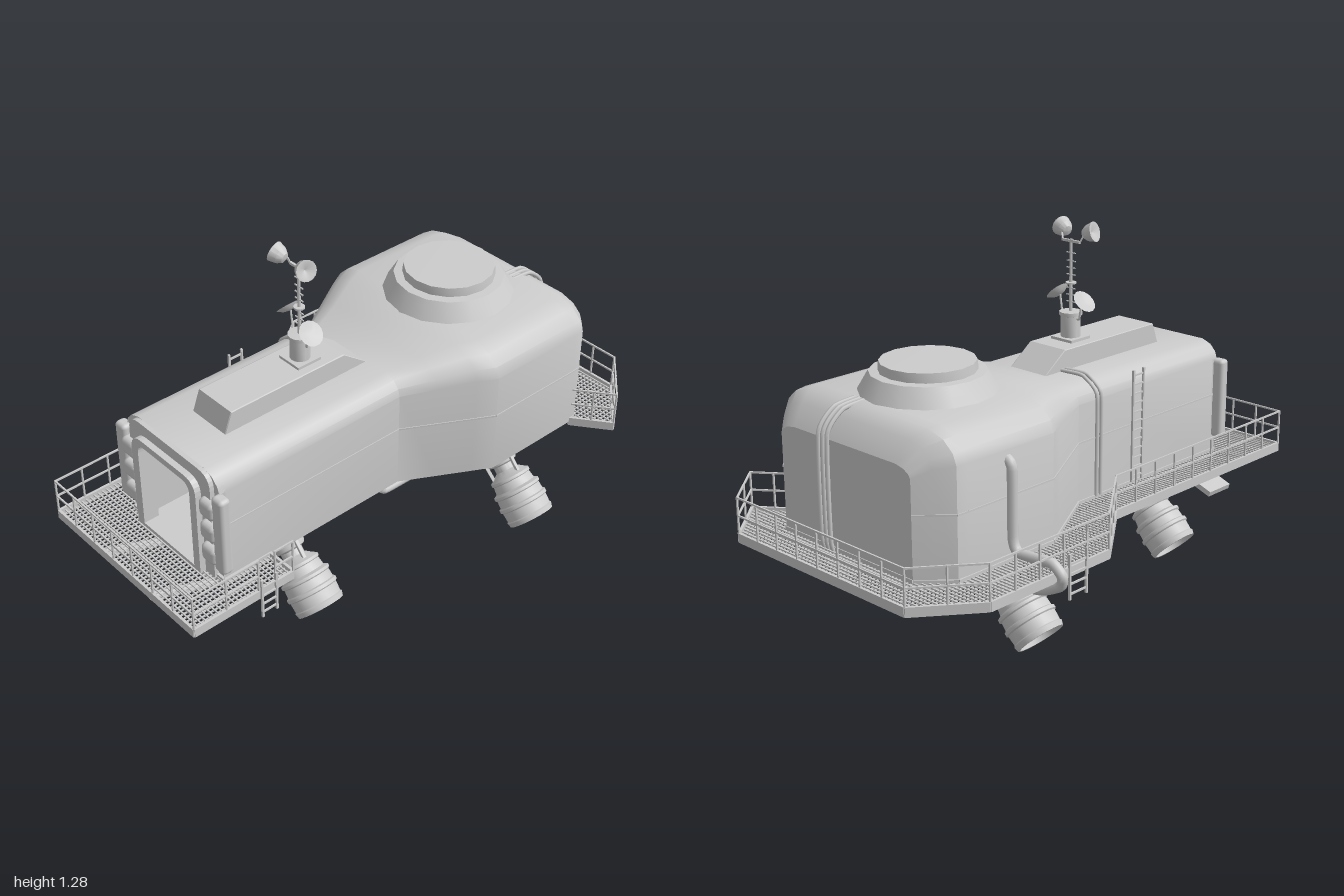
import * as THREE from 'three';
import { mergeGeometries, toCreasedNormals } from 'three/addons/utils/BufferGeometryUtils.js';
import { RoundedBoxGeometry } from 'three/addons/geometries/RoundedBoxGeometry.js';

const CX = 0.045; // centre line of the hull
const FLOOR = 0.335;
const mat = new THREE.MeshStandardMaterial({ color: 0xcccccc, side: THREE.DoubleSide });
const V = (x, y, z) => new THREE.Vector3(x, y, z);

function add(parent, name, geo, x = 0, y = 0, z = 0) {
  const m = new THREE.Mesh(geo, mat);
  m.name = name;
  m.position.set(x, y, z);
  parent.add(m);
  return m;
}

// Straight bar of rectangular section between two points
function bar(p, q, w, h = w) {
  const o = new THREE.Object3D();
  o.position.copy(p).add(q).multiplyScalar(0.5);
  o.lookAt(q);
  o.updateMatrix();
  return new THREE.BoxGeometry(w, h, p.distanceTo(q)).applyMatrix4(o.matrix);
}

// Pipe through points with softened corners
function pipe(points, r, sides = 10) {
  const c = new THREE.CatmullRomCurve3(points.map(p => V(...p)), false, 'catmullrom', 0.25);
  return new THREE.TubeGeometry(c, points.length * 7, r, sides);
}
const lathe = (pts, n = 20, crease = 0.5) =>
  toCreasedNormals(new THREE.LatheGeometry(pts.map(p => new THREE.Vector2(...p)), n), crease);

// Cross-section of the hull, counter-clockwise from the front
function section([, w, ys, yr, wr]) {
  const d = w - wr, h = yr - ys;
  const half = [[w, FLOOR], [w, ys], [w - d * 0.12, ys + h * 0.4], [w - d * 0.45, ys + h * 0.78], [wr, yr]];
  return [...half, ...half.map(([x, y]) => [-x, y]).reverse()].map(([x, y]) => [x + CX, y]);
}
// z, half width, wall top, roof height, half width of the flat roof
const stations = [
  [0.78, 0.25, 0.71, 0.775, 0.18], [0, 0.25, 0.71, 0.778, 0.18], [-0.12, 0.316, 0.72, 0.802, 0.22],
  [-0.24, 0.382, 0.73, 0.828, 0.27], [-0.31, 0.42, 0.73, 0.83, 0.3], [-0.7, 0.42, 0.73, 0.83, 0.3],
  [-0.745, 0.418, 0.73, 0.825, 0.29], [-0.8, 0.365, 0.72, 0.795, 0.26], [-0.847, 0.318, 0.69, 0.725, 0.25],
];

function hullGeometry() {
  const rings = stations.map(s => section(s).map(([x, y]) => [x, y, s[0]]));
  const n = rings[0].length, idx = [], last = (rings.length - 1) * n;
  for (let s = 0; s < rings.length - 1; s++)
    for (let i = 0; i < n; i++) {
      const a = s * n + i, b = s * n + (i + 1) % n;
      idx.push(a, a + n, b, b, a + n, b + n);
    }
  for (let i = 1; i < n - 1; i++) idx.push(last, last + i + 1, last + i); // rear wall
  const g = new THREE.BufferGeometry();
  g.setAttribute('position', new THREE.Float32BufferAttribute(rings.flat(2), 3));
  g.setIndex(idx);
  return toCreasedNormals(g, 0.55);
}

// Doorway outline with rounded top corners
function arch(shape, x0, x1, y0, y1, r) {
  shape.moveTo(x0, y0).lineTo(x1, y0).lineTo(x1, y1 - r).quadraticCurveTo(x1, y1, x1 - r, y1)
    .lineTo(x0 + r, y1).quadraticCurveTo(x0, y1, x0, y1 - r).lineTo(x0, y0);
  return shape;
}
function plate(shape, hole, depth) {
  shape.holes.push(hole);
  return new THREE.ExtrudeGeometry(shape, { depth, bevelEnabled: false, curveSegments: 6 });
}

function buildHull(g) {
  add(g, 'hull', hullGeometry());
  const door = () => arch(new THREE.Path(), -0.1, 0.18, 0.355, 0.7, 0.04);
  const wall = new THREE.Shape(section(stations[0]).map(p => new THREE.Vector2(...p)));
  add(g, 'frontWall', plate(wall, door(), 0.02), 0, 0, 0.755);
  add(g, 'doorFrame', plate(arch(new THREE.Shape(), -0.135, 0.213, 0.34, 0.725, 0.06), door(), 0.05), 0, 0, 0.765);
  add(g, 'doorSurround', plate(arch(new THREE.Shape(), -0.175, 0.262, 0.34, 0.768, 0.06),
    arch(new THREE.Path(), -0.135, 0.213, 0.35, 0.72, 0.06), 0.022), 0, 0, 0.77);
  // Padded posts beside the door
  for (const s of [-1, 1]) {
    add(g, 'sidePost', new RoundedBoxGeometry(0.055, 0.31, 0.045, 2, 0.015), CX + s * 0.262, 0.555, 0.785);
    for (const y of [0.45, 0.545, 0.64])
      add(g, 'sidePad', new RoundedBoxGeometry(0.075, 0.07, 0.05, 2, 0.02), CX + s * 0.212, y, 0.792);
  }
  // Seam belt around the walls
  const belt = stations.map(s => [s[1], s[0]]);
  const parts = [];
  for (const s of [-1, 1])
    for (let i = 1; i < belt.length; i++)
      parts.push(bar(V(CX + s * belt[i - 1][0], 0.57, belt[i - 1][1]), V(CX + s * belt[i][0], 0.57, belt[i][1]), 0.006));
  add(g, 'seamBelt', mergeGeometries(parts));
  // Dome and its cap
  add(g, 'dome', lathe([[0.25, 0.81], [0.237, 0.832], [0.2, 0.895], [0.168, 0.897], [0.165, 0.93], [0, 0.931]], 16), 0.042, 0, -0.475);
  // Roof fairing
  const f = new THREE.Shape([[0, 0.77], [-0.11, 0.85], [-0.595, 0.85], [-0.625, 0.77]].map(p => new THREE.Vector2(...p)));
  add(g, 'roofFairing', new THREE.ExtrudeGeometry(f, { depth: 0.165, bevelThickness: 0.004, bevelSize: 0.002, bevelSegments: 1 }), -0.036, 0, 0)
    .rotation.y = Math.PI / 2;
}

function buildRoom(g) {
  const box = (n, w, h, d, x, y, z) => add(g, n, new THREE.BoxGeometry(w, h, d), x, y, z);
  box('roomFloor', 0.36, 0.01, 0.66, CX, 0.35, 0.43);
  box('roomCeiling', 0.36, 0.01, 0.66, CX, 0.715, 0.43);
  box('roomBackWall', 0.36, 0.37, 0.01, CX, 0.53, 0.1);
  for (const s of [-1, 1]) box('roomSideWall', 0.01, 0.37, 0.66, CX + s * 0.18, 0.53, 0.43);
  for (let i = 0; i < 6; i++) box('shelf', 0.09, 0.008, 0.2, -0.07, 0.4 + i * 0.05, 0.42);
  box('console', 0.15, 0.11, 0.06, 0.09, 0.57, 0.15);
  box('table', 0.17, 0.015, 0.18, 0.085, 0.495, 0.28);
  for (const x of [0.02, 0.15]) box('tableLeg', 0.012, 0.14, 0.012, x, 0.425, 0.34);
  box('seat', 0.07, 0.07, 0.07, 0.085, 0.39, 0.43);
}

const outer = [[0.415, 0.585], [0.415, 0.995], [-0.355, 0.995], [-0.355, 0.03], [-0.56, -0.24],
  [-0.56, -0.79], [-0.4, -0.995], [0.43, -0.995], [0.592, -0.82], [0.46, -0.72]];
const inner = [[0.46, -0.745], [0.363, -0.845], [-0.273, -0.845], [-0.375, -0.745], [-0.375, -0.31],
  [-0.205, 0], [-0.205, 0.78], [0.295, 0.78], [0.295, 0.585]];

// Bars of one direction, clipped to the walkway outline
function grating(axis, y, step) {
  const poly = [...outer, ...inner], k = axis, o = 1 - axis, parts = [];
  for (let t = -1; t < 1; t += step) {
    const hits = [];
    poly.forEach((a, i) => {
      const b = poly[(i + 1) % poly.length];
      if ((a[k] > t) !== (b[k] > t)) hits.push(a[o] + (b[o] - a[o]) * (t - a[k]) / (b[k] - a[k]));
    });
    hits.sort((a, b) => a - b);
    for (let i = 0; i + 1 < hits.length; i += 2)
      parts.push(k ? bar(V(hits[i], y, t), V(hits[i + 1], y, t), 0.005) : bar(V(t, y, hits[i]), V(t, y, hits[i + 1]), 0.005));
  }
  return mergeGeometries(parts);
}

function railing(path) {
  const parts = [];
  for (let i = 1; i < path.length; i++) {
    const a = V(path[i - 1][0], 0, path[i - 1][1]), b = V(path[i][0], 0, path[i][1]);
    for (const y of [0.415, 0.48]) parts.push(bar(a.clone().setY(y), b.clone().setY(y), 0.006));
    const n = Math.max(1, Math.round(a.distanceTo(b) / 0.11));
    for (let j = 0; j <= n; j++) {
      const p = a.clone().lerp(b, j / n);
      parts.push(bar(p.clone().setY(0.32), p.clone().setY(0.483), 0.006));
    }
  }
  return mergeGeometries(parts);
}

// Ladder between two heights, rungs along z
function ladder(x, z, y0, y1, width) {
  const parts = [-1, 1].map(s => bar(V(x, y0, z + s * width / 2), V(x, y1, z + s * width / 2), 0.008));
  for (let y = y0 + 0.02; y < y1; y += 0.035) parts.push(bar(V(x, y, z - width / 2), V(x, y, z + width / 2), 0.006));
  return mergeGeometries(parts);
}

function buildWalkway(g) {
  add(g, 'gratingLong', grating(0, 0.337, 0.017));
  add(g, 'gratingCross', grating(1, 0.341, 0.017));
  const poly = [...outer, ...inner];
  add(g, 'walkwayEdge', mergeGeometries(poly.map((p, i) => {
    const q = poly[(i + 1) % poly.length];
    return bar(V(p[0], 0.336, p[1]), V(q[0], 0.336, q[1]), 0.01, 0.034);
  })));
  add(g, 'railing', railing([[0.415, 0.73], ...outer.slice(1)]));
  add(g, 'gateRailing', railing([[0.415, 0.585], [0.415, 0.66]]));
  add(g, 'sideLadder', ladder(-0.213, 0.31, 0.35, 0.775, 0.055));
  add(g, 'frontStep', ladder(0.425, 0.695, 0.24, 0.4, 0.06));
  add(g, 'rearStep', ladder(-0.568, -0.4, 0.24, 0.4, 0.08));
  add(g, 'slopedPlate', bar(V(-0.36, 0.26, 0.62), V(-0.18, 0.325, 0.62), 0.12, 0.02));
}

function buildPipes(g) {
  add(g, 'sidePipe', pipe([[-0.36, 0.7, -0.52], [-0.39, 0.67, -0.52], [-0.393, 0.43, -0.52], [-0.42, 0.385, -0.52],
    [-0.56, 0.39, -0.515], [-0.6, 0.355, -0.51], [-0.585, 0.315, -0.5], [-0.5, 0.27, -0.49], [-0.36, 0.235, -0.47]], 0.018));
  for (const x of [0.11, 0.132, 0.154])
    add(g, 'rearPipe', pipe([[x, 0.825, -0.7], [x, 0.815, -0.79], [x, 0.74, -0.858], [x, 0.37, -0.86], [x, 0.305, -0.82],
      [x, 0.3, -0.67], [x, 0.34, -0.64]], 0.008, 6));
  for (const z of [0.09, 0.112])
    add(g, 'roofPipe', pipe([[-0.03, 0.782, z], [-0.14, 0.785, z], [-0.2, 0.745, z], [-0.211, 0.7, z], [-0.211, 0.35, z]], 0.007, 6));
  // Tubes below the floor
  for (const x of [-0.11, 0.17]) {
    add(g, 'underTube', pipe([[x, 0.315, 0.985], [x, 0.225, 0.75], [x, 0.228, 0.7], [x, 0.23, 0], [x, 0.25, -0.04], [x, 0.34, -0.045]], 0.016));
    add(g, 'rearUnderTube', pipe([[x, 0.34, -0.03], [x, 0.22, -0.035], [x, 0.188, -0.07], [x, 0.188, -0.54], [x, 0.22, -0.585], [x, 0.34, -0.59]], 0.017));
    add(g, 'underBrace', bar(V(x, 0.27, 0.16), V(x, 0.34, 0.09), 0.022));
    add(g, 'frontBrace', bar(V(x, 0.23, 0.68), V(x, 0.34, 0.58), 0.025));
  }
  for (const [y, z] of [[0.228, 0.73], [0.188, -0.08], [0.23, 0.02]])
    add(g, 'crossTube', pipe([[-0.11, y, z], [0.03, y, z], [0.17, y, z]], 0.013));
}

function buildThrusters(g) {
  const profile = [[0, 0.12], [0.05, 0.1], [0.078, 0], [0.086, 0], [0.091, 0.018], [0.087, 0.022], [0.089, 0.058], [0.095, 0.062],
    [0.095, 0.074], [0.088, 0.078], [0.086, 0.108], [0.092, 0.112], [0.092, 0.122], [0.078, 0.13], [0.073, 0.16], [0.078, 0.163],
    [0.078, 0.173], [0.06, 0.185], [0.04, 0.2], [0.04, 0.222], [0.055, 0.228], [0.067, 0.26], [0.067, 0.3], [0.055, 0.35], [0, 0.38]];
  for (const [offset, z] of [[0.34, 0.44], [0.5, -0.455]])
    for (const s of [-1, 1]) {
      const t = new THREE.Group();
      t.name = 'thruster';
      t.position.set(CX + s * offset, 0.07, z);
      t.rotation.z = s * Math.PI / 4;
      add(t, 'nozzle', lathe(profile, 24));
      for (let i = 0; i < 3; i++) {
        const a = i * Math.PI * 2 / 3;
        add(t, 'nozzleStrut', bar(V(Math.cos(a) * 0.06, 0.18, Math.sin(a) * 0.06), V(Math.cos(a) * 0.062, 0.25, Math.sin(a) * 0.062), 0.012));
      }
      g.add(t);
    }
}

function buildAntenna(g) {
  const a = new THREE.Group();
  a.name = 'antenna';
  a.position.set(0.05, 0, 0.235);
  add(a, 'antennaFoot', new THREE.BoxGeometry(0.1, 0.012, 0.1), 0, 0.856, 0);
  add(a, 'antennaBase', lathe([[0.036, 0.85], [0.036, 0.94], [0.042, 0.942], [0.042, 0.955], [0, 0.957]], 14));
  add(a, 'mast', new THREE.CylinderGeometry(0.005, 0.007, 0.27, 8), 0, 1.085, 0);
  add(a, 'mastDisc', new THREE.CylinderGeometry(0.02, 0.02, 0.006, 12), 0, 1.06, 0);
  for (const y of [0.99, 1.015, 1.04, 1.09, 1.115, 1.14, 1.17])
    add(a, 'mastRung', new THREE.BoxGeometry(0.042, 0.004, 0.004), 0, y, 0);
  add(a, 'crossArm', new THREE.BoxGeometry(0.085, 0.009, 0.009), 0, 1.213, 0);
  for (const s of [-1, 1]) {
    add(a, 'dishArm', pipe([[s * 0.03, 0.93, 0], [s * 0.06, 0.94, s * 0.02], [s * 0.075, 1, s * 0.025]], 0.004, 6));
    const d = add(a, 'dish', lathe([[0, 0], [0.025, 0.005], [0.045, 0.018], [0.022, 0.013], [0, 0.01]], 14), s * 0.076, 0.998, s * 0.025);
    d.rotation.z = -s * Math.PI / 4;
    add(a, 'cupStem', bar(V(s * 0.04, 1.21, 0), V(s * 0.055, 1.245, 0.01), 0.006));
    const c = add(a, 'cup', lathe([[0, -0.03], [0.018, -0.025], [0.03, -0.008], [0.037, 0.02], [0.03, 0.02], [0, 0.005]], 14),
      s * 0.063, 1.247, 0.03);
    c.rotation.set(0.7, 0, -s * 1.2);
  }
  g.add(a);
}

export function createModel() {
  const g = new THREE.Group();
  g.name = 'habitatModule';
  buildHull(g);
  buildRoom(g);
  buildWalkway(g);
  buildPipes(g);
  buildThrusters(g);
  buildAntenna(g);
  return g;
}
